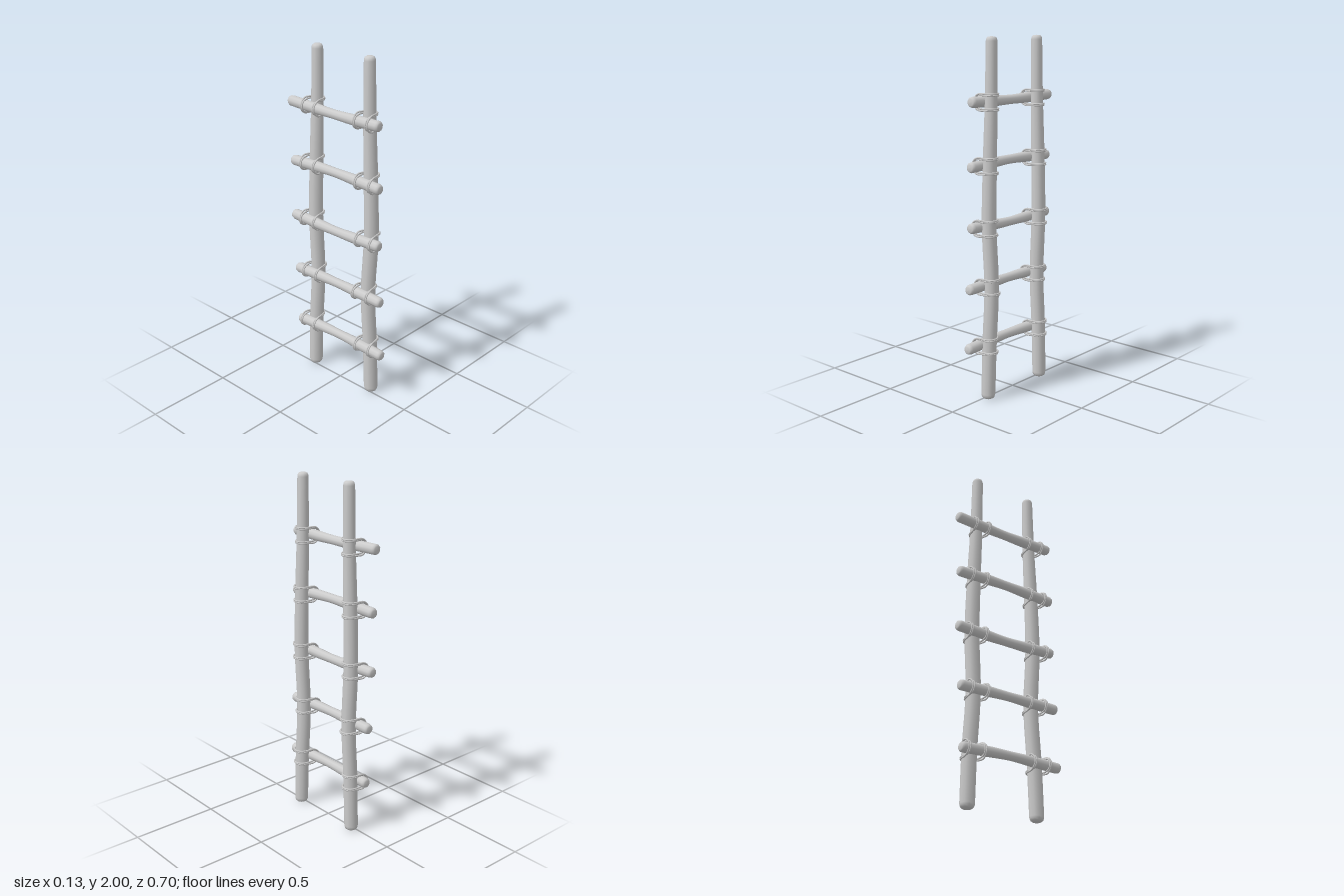
import * as THREE from 'three';

const material = new THREE.MeshStandardMaterial({ color: 0xcccccc });
const POLE_X = 0.018, RUNG_X = -0.028, ROPE = 0.005;
const v = (x, y, z) => new THREE.Vector3(x, y, z);

// Pole centre lines (z at height y) and shared radii
const HEIGHTS = [0, 0.31, 0.64, 0.98, 1.32, 1.65, 2];
const POLE_Z = {
  left: [0.229, 0.217, 0.197, 0.215, 0.207, 0.194, 0.188],
  right: [-0.221, -0.212, -0.193, -0.207, -0.2, -0.188, -0.183],
};
const POLE_R = [0.04, 0.041, 0.041, 0.041, 0.039, 0.035, 0.031];

// Rungs: height at front end, middle and back end, then front and back z
const RUNGS = [
  { y: [0.305, 0.315, 0.305], front: 0.352, back: -0.302 },
  { y: [0.643, 0.649, 0.643], front: 0.339, back: -0.318 },
  { y: [0.983, 0.973, 0.983], front: 0.32, back: -0.339 },
  { y: [1.314, 1.325, 1.317], front: 0.318, back: -0.339 },
  { y: [1.66, 1.655, 1.663], front: 0.307, back: -0.353 },
];

// Smooth interpolation through (key, value) pairs
function sampler(keys, values) {
  return (k) => {
    let i = 0;
    while (i < keys.length - 2 && k > keys[i + 1]) i++;
    const slope = (j) => {
      const a = Math.max(j - 1, 0), b = Math.min(j + 1, keys.length - 1);
      return (values[b] - values[a]) / (keys[b] - keys[a]);
    };
    const d = keys[i + 1] - keys[i], t = (k - keys[i]) / d, t2 = t * t, t3 = t2 * t;
    return (2 * t3 - 3 * t2 + 1) * values[i] + (t3 - 2 * t2 + t) * d * slope(i)
      + (3 * t2 - 2 * t3) * values[i + 1] + (t3 - t2) * d * slope(i + 1);
  };
}

// Round stick along y from a to b with softened ends, bent sideways in z
function stick(name, a, b, radius, bend, sides) {
  const profile = [], caps = [[0, 0], [0.6, 0.06], [0.85, 0.28], [0.97, 0.65]];
  const ra = radius(a), rb = radius(b), soft = 0.75;
  caps.forEach(([r, h]) => profile.push(new THREE.Vector2(r * ra, a + h * ra * soft)));
  const start = a + ra * soft, end = b - rb * soft;
  for (let i = 0; i <= 24; i++) {
    const y = start + (end - start) * i / 24;
    profile.push(new THREE.Vector2(radius(y), y));
  }
  caps.reverse().forEach(([r, h]) => profile.push(new THREE.Vector2(r * rb, b - h * rb * soft)));
  const geometry = new THREE.LatheGeometry(profile, sides);
  const p = geometry.attributes.position;
  for (let i = 0; i < p.count; i++) p.setZ(i, p.getZ(i) + bend(p.getY(i)));
  const mesh = new THREE.Mesh(geometry, material);
  mesh.name = name;
  return mesh;
}

// Closed rope loop: round the pole above and below the rung, and behind the rung
function lashing(name, y, z, poleR, rungR, turn) {
  const a = poleR + ROPE * 0.8;
  const side = a + turn * ROPE * 2;
  const h = rungR + ROPE + turn * ROPE * 1.6;
  const b = rungR + ROPE * 0.8;
  const half = (s) => [
    v(RUNG_X - b, y, z - s * side),
    v(RUNG_X - b * 0.7, y + s * b * 0.75, z - s * side),
    v(RUNG_X, y + s * h, z - s * side),
    v(POLE_X, y + s * h, z - s * a),
    v(POLE_X + a * 0.71, y + s * h, z - s * a * 0.71),
    v(POLE_X + a, y + s * h, z),
    v(POLE_X + a * 0.71, y + s * h, z + s * a * 0.71),
    v(POLE_X, y + s * h, z + s * a),
    v(RUNG_X, y + s * h, z + s * side),
    v(RUNG_X - b * 0.7, y + s * b * 0.75, z + s * side),
  ];
  const path = new THREE.CatmullRomCurve3([...half(1), ...half(-1)], true);
  const mesh = new THREE.Mesh(new THREE.TubeGeometry(path, 72, ROPE, 6, true), material);
  mesh.name = name;
  return mesh;
}

export function createModel() {
  const model = new THREE.Group();
  model.name = 'ladder';
  const poleRadius = sampler(HEIGHTS, POLE_R);
  const poleBends = Object.entries(POLE_Z).map(([side, z]) => [side, sampler(HEIGHTS, z)]);

  // Upright poles
  for (const [side, bend] of poleBends) {
    const pole = stick(side + 'Pole', 0, 2, poleRadius, bend, 10);
    pole.position.x = POLE_X;
    model.add(pole);
  }

  RUNGS.forEach(({ y, front, back }, i) => {
    // Rung: thicker at the ends, slightly bowed
    const mid = (front + back) / 2;
    const radius = sampler([back, mid - 0.15, mid, mid + 0.15, front], [0.03, 0.03, 0.026, 0.03, 0.03]);
    const height = sampler([back, mid, front], [y[2], y[1], y[0]]);
    const rung = stick('rung' + (i + 1), back, front, radius, (k) => -height(k), 10);
    rung.rotation.x = Math.PI / 2;
    rung.position.x = RUNG_X;
    model.add(rung);

    // Two turns of rope at each crossing
    for (const [side, bend] of poleBends) {
      const z = bend(y[1]), cy = height(z);
      for (const turn of [0, 1]) {
        model.add(lashing(side + 'Lashing' + (i + 1), cy, z, poleRadius(cy), radius(z), turn));
      }
    }
  });
  return model;
}
